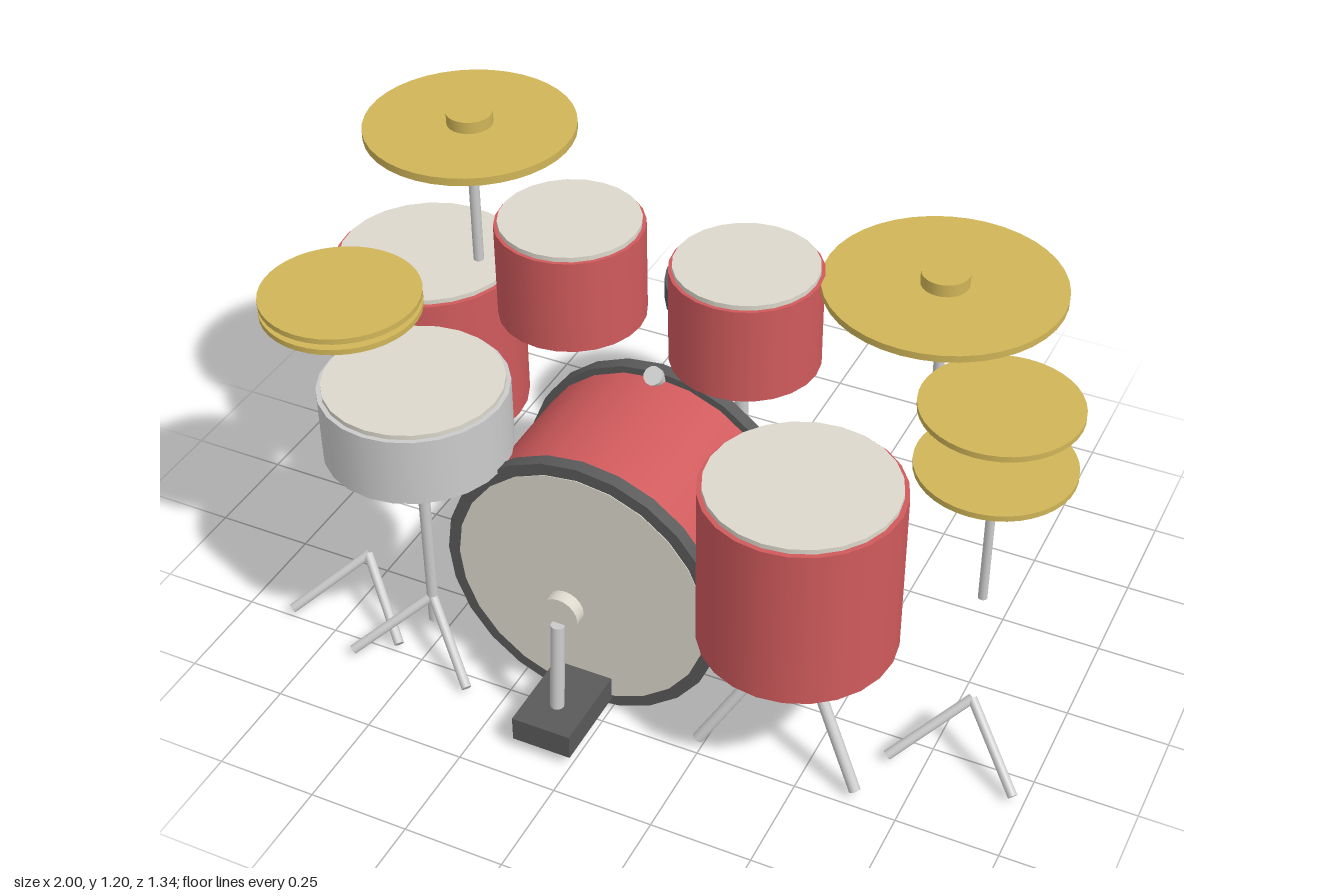
import * as THREE from 'three';

const mat = (color) => new THREE.MeshStandardMaterial({ color });

export function createModel() {
  const model = new THREE.Group();
  const steel = mat(0xcccccc), red = mat(0xd05a5c), skin = mat(0xdcd8cc);
  const dark = mat(0x5a5a5a), brass = mat(0xd0b558);

  const group = (name, x = 0, z = 0) => {
    const g = new THREE.Group();
    g.name = name;
    g.position.set(x, 0, z);
    model.add(g);
    return g;
  };

  // upright cylinder between two heights
  const disc = (parent, name, r, y0, y1, material, sides = 24) => {
    const m = new THREE.Mesh(new THREE.CylinderGeometry(r, r, y1 - y0, sides), material);
    m.name = name;
    m.position.y = (y0 + y1) / 2;
    parent.add(m);
    return m;
  };

  // rod between two points
  const rod = (parent, name, a, b, r, material = steel) => {
    const p = new THREE.Vector3(...a), q = new THREE.Vector3(...b);
    const m = new THREE.Mesh(new THREE.CylinderGeometry(r, r, p.distanceTo(q), 12), material);
    m.name = name;
    m.position.copy(p).add(q).multiplyScalar(0.5);
    m.quaternion.setFromUnitVectors(new THREE.Vector3(0, 1, 0), q.sub(p).normalize());
    parent.add(m);
  };

  // pair of legs splayed sideways and forward
  const legs = (parent, top, dx, dz, r = 0.012) => {
    for (const s of [-1, 1]) rod(parent, 'leg', [0, top, 0], [s * dx, 0.02, dz], r);
  };

  // drum shell with a slightly inset skin
  const drum = (name, x, z, r, y0, y1, material = red) => {
    const g = group(name, x, z);
    disc(g, 'shell', r, y0, y1 - 0.012, material);
    disc(g, 'skin', r * 0.95, y1 - 0.015, y1, skin);
    return g;
  };

  // bass drum, lying along z
  const bass = group('bassDrum', -0.075, 0);
  bass.position.y = 0.354;
  const barrel = new THREE.Group();
  barrel.rotation.x = Math.PI / 2;
  bass.add(barrel);
  disc(barrel, 'bassShell', 0.335, 0.01, 0.43, red);
  disc(barrel, 'backHoop', 0.353, 0, 0.035, dark);
  disc(barrel, 'frontHoop', 0.353, 0.413, 0.447, dark);
  disc(barrel, 'frontSkin', 0.322, 0.43, 0.449, skin);
  rod(bass, 'tomMount', [0, 0.29, -0.01 + 0.005], [0, 0.354, 0.054], 0.024);

  // kick pedal
  const pedal = group('kickPedal', -0.075, 0);
  const base = new THREE.Mesh(new THREE.BoxGeometry(0.15, 0.065, 0.23), dark);
  base.name = 'pedalBase';
  base.position.set(0, 0.064, 0.553);
  pedal.add(base);
  rod(pedal, 'beaterShaft', [0, 0.08, 0.583], [0, 0.335, 0.563], 0.017);
  const beater = new THREE.Mesh(new THREE.CylinderGeometry(0.048, 0.048, 0.033, 20), skin);
  beater.name = 'beater';
  beater.rotation.x = Math.PI / 2;
  beater.position.set(0, 0.358, 0.54);
  pedal.add(beater);

  // rack toms
  for (const x of [-0.3, 0.148]) drum('rackTom', x, 0.022, 0.178, 0.815, 1.07);

  // floor toms on splayed legs
  for (const [x, z] of [[0.438, 0.36], [-0.766, -0.092]]) {
    legs(drum('floorTom', x, z, 0.234, 0.345, 0.782), 0.35, 0.2, 0.11, 0.014);
  }

  // snare on its stand
  const snare = drum('snare', -0.5, 0.427, 0.223, 0.628, 0.814, steel);
  disc(snare, 'snarePole', 0.014, 0.08, 0.63, steel, 12);
  legs(snare, 0.155, 0.16, 0.13);

  // paired cymbals: [name, x, z, radius, cymbal heights, pole top]
  for (const [name, x, z, r, heights, top] of [
    ['hiHat', -0.723, 0.362, 0.19, [0.914, 0.943], 0.915],
    ['sideCymbals', 0.819, 0.203, 0.179, [0.848, 1.006], 0.845],
  ]) {
    const g = group(name, x, z);
    for (const y of heights) disc(g, 'cymbal', r, y - 0.007, y + 0.007, brass, 40);
    disc(g, 'pole', 0.011, 0.47, top, steel, 12);
    legs(g, 0.155, 0.155, 0.13);
  }

  // large cymbals with bells: [name, x, z, radius, bottom, top, bell top, pole foot]
  for (const [name, x, z, r, y0, y1, bell, foot] of [
    ['crashCymbal', -0.634, -0.112, 0.256, 1.15, 1.17, 1.2, 0.65],
    ['rideCymbal', 0.573, -0.112, 0.278, 1.04, 1.057, 1.088, 0.535],
  ]) {
    const g = group(name, x, z);
    disc(g, 'cymbal', r, y0, y1, brass, 40);
    disc(g, 'bell', 0.056, y1 - 0.005, bell, brass, 24);
    disc(g, 'pole', 0.013, foot, y0, steel, 12);
  }

  // drummer's stool
  const stool = group('stool', -0.075, -0.47);
  disc(stool, 'seat', 0.2, 0.604, 0.666, dark, 28);
  disc(stool, 'stoolPole', 0.019, 0.075, 0.605, steel, 14);
  legs(stool, 0.145, 0.175, 0.13, 0.013);

  return model;
}
